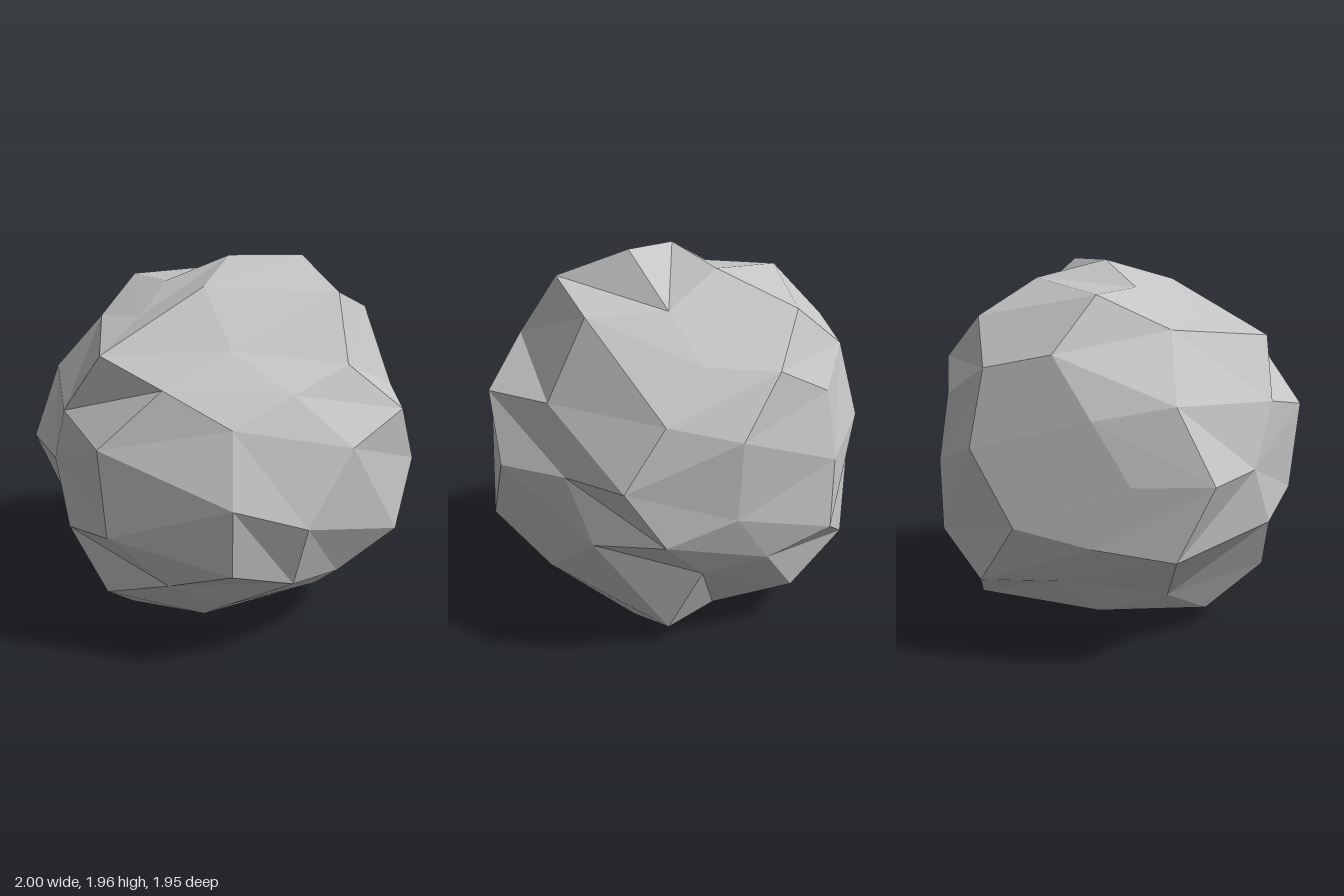
import * as THREE from 'three';

// Boulder: a dodecahedron split once, each point pushed in or out along its ray.
const T = (1 + Math.sqrt(5)) / 2, R = 1 / T;
const CENTER = new THREE.Vector3(0.063, 0.98, -0.03);

// The 20 corner directions: eight cube corners, then three golden rectangles
function cornerDirections() {
  const dirs = [];
  const s = [-1, 1];
  for (const x of s) for (const y of s) for (const z of s) dirs.push([x, y, z]);
  for (const b of s) for (const a of s) dirs.push([0, b * R, a * T]);
  for (const a of s) for (const b of s) dirs.push([a * R, b * T, 0]);
  for (const b of s) for (const a of s) dirs.push([a * T, 0, b * R]);
  return dirs.map((d) => new THREE.Vector3(...d).normalize());
}

// Pentagons, each cut as a fan from its first corner
const FACES = [
  [3, 11, 7, 15, 13], [7, 19, 17, 6, 15], [17, 4, 8, 10, 6], [8, 0, 16, 2, 10],
  [0, 12, 1, 18, 16], [6, 10, 2, 13, 15], [2, 16, 18, 3, 13], [18, 1, 9, 11, 3],
  [4, 14, 12, 0, 8], [11, 9, 5, 19, 7], [19, 5, 14, 4, 17], [1, 12, 14, 5, 9],
];

// Distance from the centre for each corner
const CORNER = [
  0.925, 1.08, 1.0, 1.055, 0.89, 0.95, 0.885, 0.955, 1.008, 1.015,
  0.95, 0.95, 0.93, 0.91, 1.05, 1.05, 0.95, 0.975, 0.96, 1.005,
];

// Distance from the centre for the midpoint between two corners
const MIDDLE = {
  // pentagon sides
  '3-11': 1.01, '7-11': 0.91, '7-15': 1.05, '13-15': 0.98, '3-13': 0.89,
  '7-19': 1.03, '17-19': 0.895, '6-17': 0.94, '6-15': 0.9, '4-17': 0.94,
  '4-8': 0.92, '8-10': 0.945, '6-10': 0.97, '0-8': 1.07, '0-16': 0.97,
  '2-16': 0.96, '2-10': 1.0, '0-12': 0.945, '1-12': 1.06, '1-18': 1.01,
  '16-18': 1.063, '2-13': 1.03, '3-18': 1.0, '1-9': 0.985, '9-11': 1.005,
  '4-14': 1.068, '12-14': 0.98, '5-9': 0.975, '5-19': 1.04, '5-14': 0.95,
  // pentagon diagonals
  '3-7': 0.9, '3-15': 0.95, '7-17': 0.92, '6-7': 1.01, '8-17': 0.88,
  '10-17': 0.925, '8-16': 0.99, '2-8': 0.975, '0-1': 0.94, '0-18': 1.045,
  '2-6': 1.01, '6-13': 0.96, '2-18': 1.015, '2-3': 0.945, '9-18': 1.03,
  '11-18': 1.07, '4-12': 0.985, '0-4': 1.05, '5-11': 0.99, '11-19': 0.98,
  '14-19': 0.985, '4-19': 0.925, '1-14': 1.0, '1-5': 0.95,
};

function boulderGeometry() {
  const dirs = cornerDirections();
  const place = (dir, r) => dir.clone().multiplyScalar(r).add(CENTER);
  const corner = (i) => place(dirs[i], CORNER[i]);
  const middle = (i, j) => place(
    dirs[i].clone().add(dirs[j]).normalize(),
    MIDDLE[`${Math.min(i, j)}-${Math.max(i, j)}`],
  );
  const points = [];
  for (const f of FACES) {
    for (let k = 1; k < 4; k++) {
      const [a, b, c] = [f[0], f[k], f[k + 1]];
      const [A, B, C] = [a, b, c].map(corner);
      const [ab, bc, ca] = [middle(a, b), middle(b, c), middle(c, a)];
      points.push(A, ab, ca, ab, B, bc, ca, bc, C, ab, bc, ca);
    }
  }
  const geometry = new THREE.BufferGeometry().setFromPoints(points);
  geometry.computeVertexNormals();
  return geometry;
}

export function createModel() {
  const stone = new THREE.MeshStandardMaterial({ color: 0xc4c4c4, flatShading: true });
  stone.name = 'pale stone grey';

  const boulder = new THREE.Mesh(boulderGeometry(), stone);
  boulder.name = 'boulder';

  const model = new THREE.Group();
  model.name = 'rock';
  model.add(boulder);
  return model;
}
